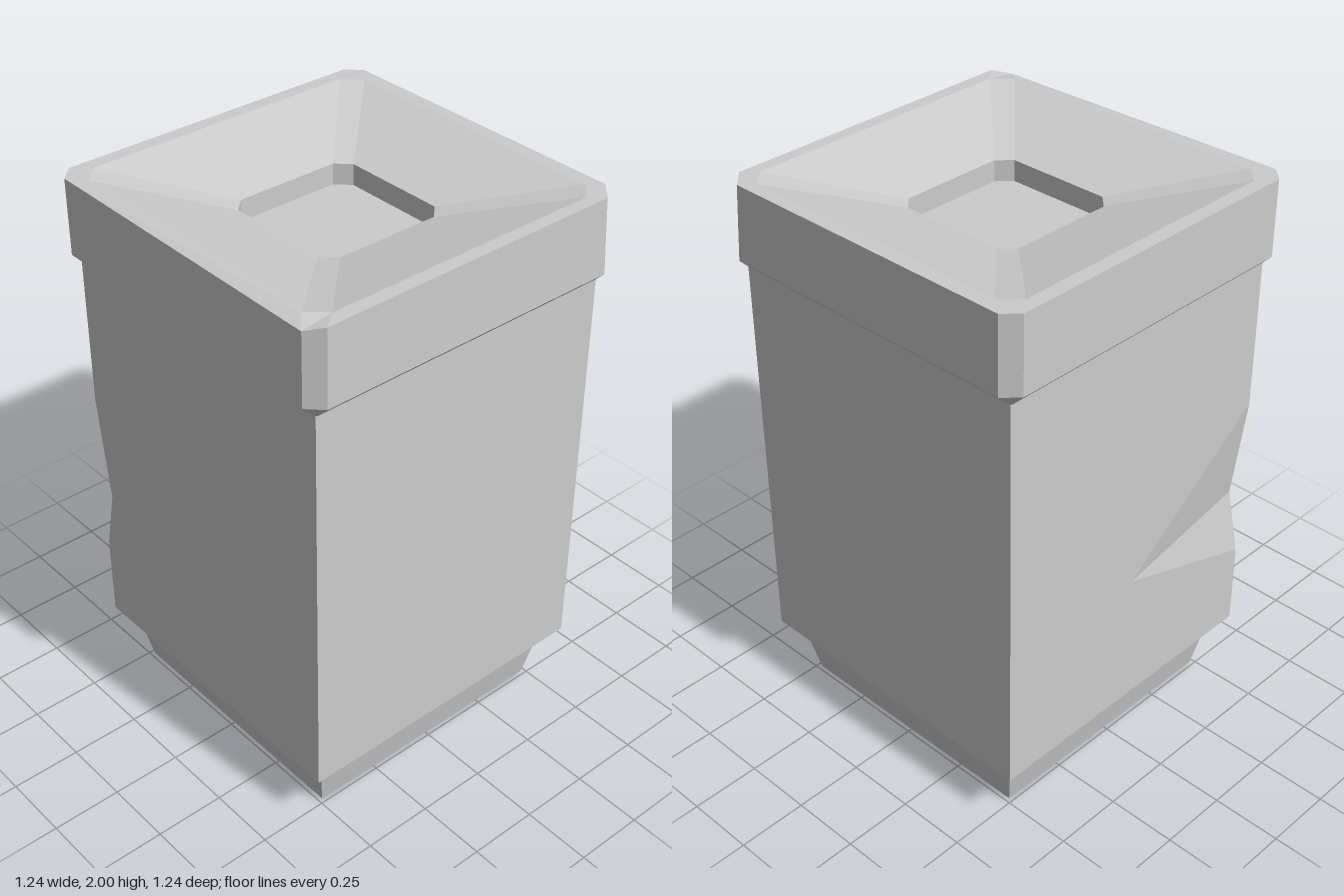
import * as THREE from 'three';

// Flat-shaded geometry from convex polygons, each fanned from its first corner
function fromPolygons(polygons) {
  const positions = [];
  for (const p of polygons) {
    for (let i = 1; i < p.length - 1; i++) positions.push(...p[0], ...p[i], ...p[i + 1]);
  }
  const geometry = new THREE.BufferGeometry();
  geometry.setAttribute('position', new THREE.Float32BufferAttribute(positions, 3));
  geometry.computeVertexNormals();
  return geometry;
}

// Square cross-section with cut corners, counter-clockwise from above
function cutSquare(half, cut, y) {
  const k = half - cut;
  return [
    [half, k], [half, -k], [k, -half], [-k, -half],
    [-half, -k], [-half, k], [-k, half], [k, half],
  ].map(([x, z]) => [x, y, z]);
}

// Walls between successive cross-sections, listed from outside bottom to inside
function walls(loops) {
  const quads = [];
  for (let j = 0; j < loops.length - 1; j++) {
    const a = loops[j], b = loops[j + 1];
    a.forEach((_, i) => {
      const n = (i + 1) % a.length;
      quads.push([a[i], a[n], b[n], b[i]]);
    });
  }
  return quads;
}

export function createModel() {
  const model = new THREE.Group();
  const grey = new THREE.MeshStandardMaterial({ color: 0xcccccc });
  grey.name = 'plain grey';
  const add = (name, geometry) => {
    const mesh = new THREE.Mesh(geometry, grey);
    mesh.name = name;
    model.add(mesh);
  };

  // Tapered plinth
  const plinth = new THREE.CylinderGeometry(0.53 * Math.SQRT2, 0.485 * Math.SQRT2, 0.22, 4).toNonIndexed();
  plinth.rotateY(Math.PI / 4).translate(0, 0.11, 0);
  plinth.computeVertexNormals();
  add('plinth', plinth);

  // Square body with a dent in the front edge of its -x side
  const h = 0.58, low = 0.22, high = 1.69;
  const corner = (sx, y, sz) => [sx * h, y, sz * h];
  const dent = [corner(-1, 0.53, 1), [-0.53, 0.76, h], corner(-1, 1.15, 1)];
  const dentEnd = [-h, 0.72, 0.0];
  add('body', fromPolygons([
    // front
    [corner(1, low, 1), corner(1, high, 1), corner(-1, high, 1), ...[...dent].reverse(), corner(-1, low, 1)],
    // dented side
    [dentEnd, corner(-1, high, -1), corner(-1, low, -1), corner(-1, low, 1), ...dent,
      corner(-1, high, 1), corner(-1, high, -1)],
    // other side
    [corner(1, low, 1), corner(1, low, -1), corner(1, high, -1), corner(1, high, 1)],
    // back
    [corner(1, low, -1), corner(-1, low, -1), corner(-1, high, -1), corner(1, high, -1)],
    // underside
    [corner(-1, low, 1), corner(-1, low, -1), corner(1, low, -1), corner(1, low, 1)],
  ]));

  // Lid: bevelled underside, rim, sloping funnel and recessed well
  const rimTop = cutSquare(0.62, 0.05, 2);
  rimTop[1] = [0.615, 2, -0.555]; // worn corners
  rimTop[2] = [0.55, 2, -0.617];
  rimTop[7][1] = 1.985;
  const well = cutSquare(0.238, 0.047, 1.835);
  add('lid', fromPolygons([
    ...walls([
      cutSquare(0.58, 0.004, 1.69),
      cutSquare(0.62, 0.05, 1.73),
      rimTop,
      cutSquare(0.57, 0.06, 2),
      cutSquare(0.238, 0.047, 1.91),
      well,
    ]),
    well,
  ]));

  return model;
}
